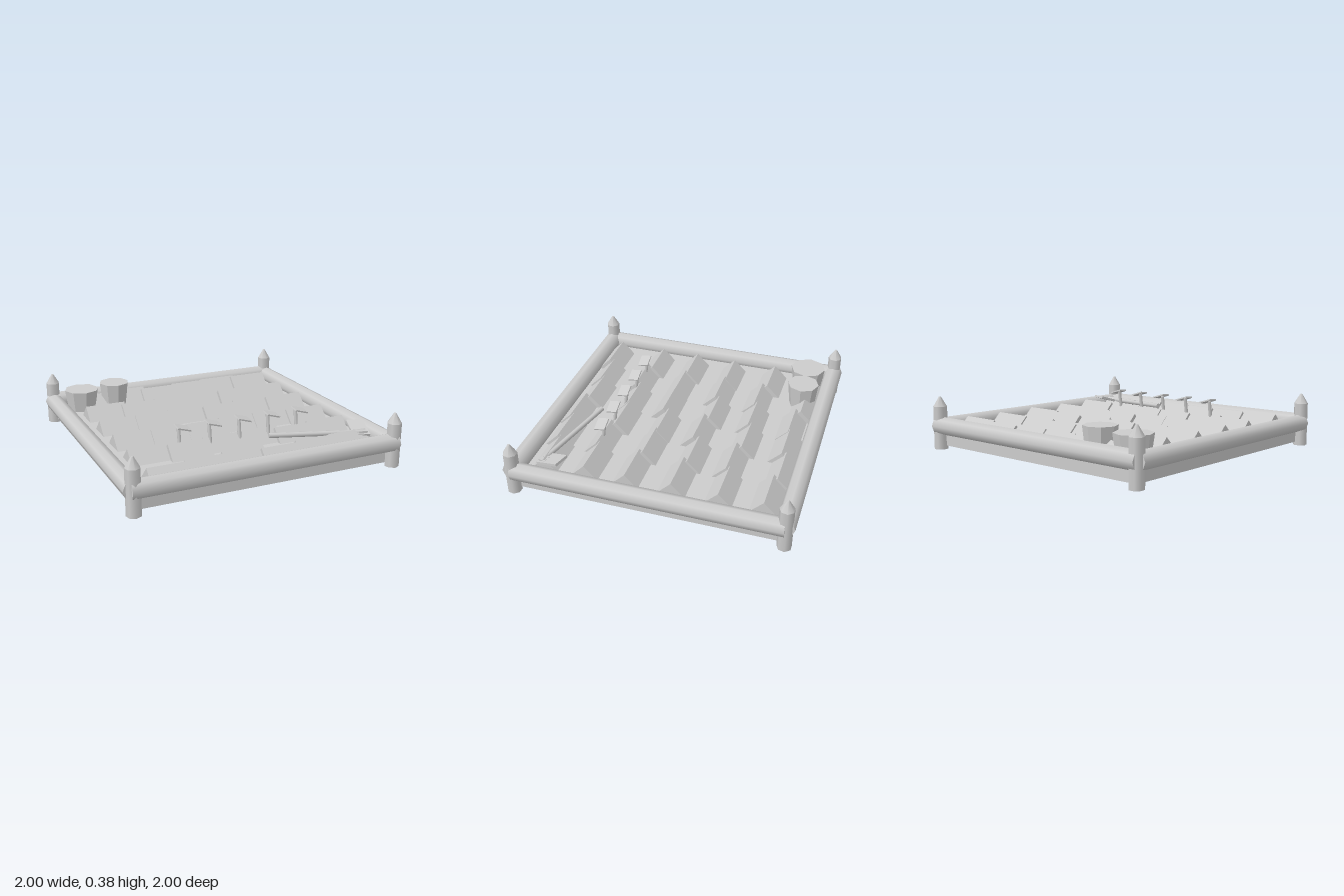
import * as THREE from 'three';

const mat = new THREE.MeshStandardMaterial({ color: 0xcccccc });
const flat = new THREE.MeshStandardMaterial({ color: 0xcccccc, flatShading: true });

function add(parent, name, geo, x, y, z, material = flat) {
  const mesh = new THREE.Mesh(geo, material);
  mesh.name = name;
  mesh.position.set(x, y, z);
  parent.add(mesh);
  return mesh;
}

// Cylinder running between two points
function rod(parent, name, a, b, radius, sides) {
  const from = new THREE.Vector3(...a), to = new THREE.Vector3(...b);
  const dir = to.clone().sub(from);
  const mid = from.clone().add(to).multiplyScalar(0.5);
  const geo = new THREE.CylinderGeometry(radius, radius, dir.length(), sides);
  const mesh = add(parent, name, geo, mid.x, mid.y, mid.z, mat);
  mesh.quaternion.setFromUnitVectors(new THREE.Vector3(0, 1, 0), dir.normalize());
  return mesh;
}

export function createModel() {
  const model = new THREE.Group();
  model.name = 'gardenBed';

  // Bed of soil
  add(model, 'soil', new THREE.BoxGeometry(1.84, 0.11, 1.84), 0, 0.08, 0);

  // Frame of octagonal logs
  for (const s of [-1, 1]) {
    rod(model, 'crossLog', [-0.955, 0.17, s * 0.933], [0.955, 0.17, s * 0.933], 0.065, 8);
    rod(model, 'sideLog', [s * 0.935, 0.165, -0.935], [s * 0.935, 0.165, 0.935], 0.063, 8);
  }

  // Corner posts with blunt pointed caps
  for (const x of [-0.933, 0.933]) {
    for (const z of [-0.935, 0.935]) {
      const post = new THREE.Group();
      post.name = 'cornerPost';
      post.position.set(x, 0, z);
      add(post, 'postShaft', new THREE.CylinderGeometry(0.05, 0.05, 0.31, 7), 0, 0.155, 0, mat);
      add(post, 'postCap', new THREE.CylinderGeometry(0.008, 0.05, 0.07, 7), 0, 0.345, 0, mat);
      model.add(post);
    }
  }

  // Furrows: rows of staggered clods, each a square bar turned on its edge
  const ridgeZ = [
    [-0.78, -0.8, -0.76, -0.77, -0.8, -0.77],
    [-0.49, -0.45, -0.47, -0.49, -0.45, -0.47],
    [-0.16, -0.15, -0.18, -0.14, -0.18, -0.15],
    [0.15, 0.17, 0.17, 0.13, 0.14, 0.17],
    [0.44, 0.48, 0.45, 0.44, 0.48, 0.46],
    [0.8, 0.77, 0.75, 0.79, 0.77, 0.75],
  ];
  const clod = new THREE.BoxGeometry(0.298, 0.138, 0.138);
  ridgeZ.forEach((row, r) => row.forEach((z, c) => {
    const y = 0.129 + 0.004 * ((r + c) % 2);
    add(model, 'soilClod', clod, -0.65 + 0.266 * c, y, z).rotation.x = Math.PI / 4;
  }));

  // Two tapered tubs in the back corner
  for (const [x, z, r, top] of [[-0.755, -0.755, 0.13, 0.29], [-0.49, -0.765, 0.115, 0.31]]) {
    const h = top - 0.13;
    add(model, 'tub', new THREE.CylinderGeometry(r, r * 0.82, h, 8), x, top - h / 2, z);
  }

  // Row of plant markers
  for (let i = 0; i < 5; i++) {
    const marker = new THREE.Group();
    marker.name = 'plantMarker';
    marker.position.set(-0.445 + i * 0.2215, 0, 0.47);
    rod(marker, 'markerStake', [0, 0.13, 0.015], [0, 0.33, -0.015], 0.0125, 6);
    const plate = add(marker, 'markerPlate', new THREE.BoxGeometry(0.1, 0.01, 0.076), 0.025, 0.326, 0);
    plate.rotation.set(0.12, 0, -0.3);
    model.add(marker);
  }

  // Hoe lying across the furrows
  const hoe = new THREE.Group();
  hoe.name = 'hoe';
  rod(hoe, 'hoeHandle', [0.155, 0.225, 0.6], [0.8, 0.205, 0.76], 0.018, 8);
  add(hoe, 'hoeNeck', new THREE.BoxGeometry(0.06, 0.035, 0.05), 0.805, 0.2, 0.755).rotation.y = -0.24;
  const blade = add(hoe, 'hoeBlade', new THREE.BoxGeometry(0.12, 0.018, 0.18), 0.805, 0.215, 0.7);
  blade.rotation.set(0.28, -0.26, 0, 'YXZ');
  model.add(hoe);

  return model;
}
